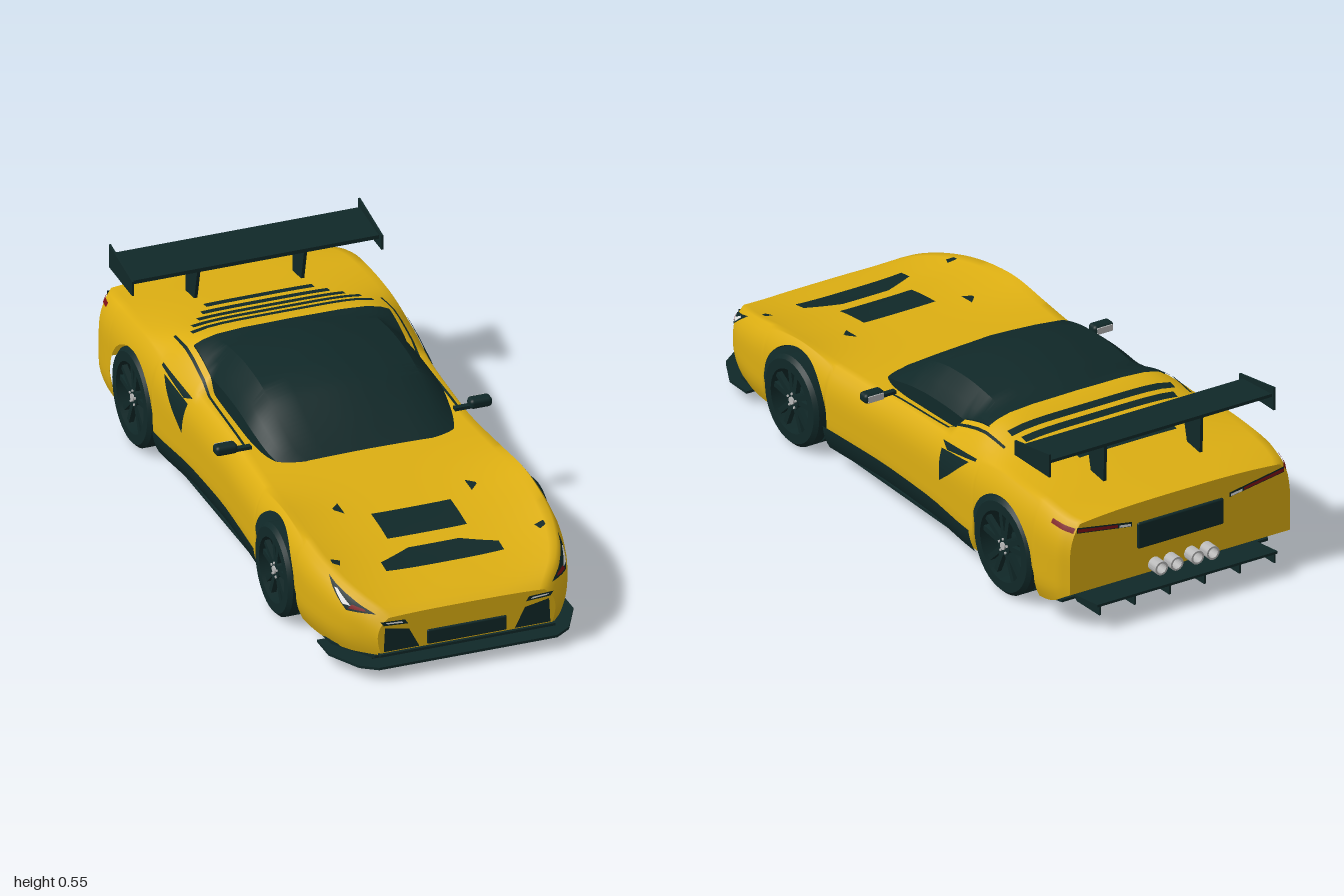
import * as THREE from 'three';
import { toCreasedNormals } from 'three/addons/utils/BufferGeometryUtils.js';
import { RoundedBoxGeometry } from 'three/addons/geometries/RoundedBoxGeometry.js';

const paint = (name, color) => {
  const m = new THREE.MeshStandardMaterial({ color, side: THREE.DoubleSide });
  m.name = name;
  return m;
};
const yellow = paint('yellow paint', 0xdcae12);
const dark = paint('dark trim', 0x102828);
const silver = paint('silver', 0xb8b8b8);
const white = paint('white lamp', 0xececec);
const red = paint('red lamp', 0x7d1016);

// Smooth curve through [z, value] points that never overshoots
function curve(points) {
  const p = [...points].sort((a, b) => a[0] - b[0]);
  const d = p.slice(1).map((q, i) => (q[1] - p[i][1]) / (q[0] - p[i][0]));
  const m = p.map((q, i) => {
    const a = d[Math.max(0, i - 1)], b = d[Math.min(d.length - 1, i)];
    return a * b > 0 ? 2 * a * b / (a + b) : 0;
  });
  return z => {
    let i = 0;
    while (i < d.length - 1 && z > p[i + 1][0]) i++;
    const h = p[i + 1][0] - p[i][0], t = THREE.MathUtils.clamp((z - p[i][0]) / h, 0, 1);
    const s = t * t * (3 - 2 * t);
    return p[i][1] * (1 - s) + p[i + 1][1] * s
      + h * (m[i] * t * (1 - t) * (1 - t) - m[i + 1] * t * t * (1 - t));
  };
}

// Body lines along the length of the car
const FRONT = 0.985, REAR = -0.96;
const halfWidth = curve([[0.985, 0.28], [0.96, 0.302], [0.9, 0.347], [0.82, 0.38], [0.7, 0.403], [0.55, 0.41], [0.35, 0.405],
  [0.2, 0.395], [0, 0.385], [-0.2, 0.388], [-0.45, 0.41], [-0.7, 0.418], [-0.85, 0.415], [-0.92, 0.405], [-0.96, 0.385]]);
const shoulderY = curve([[0.985, 0.195], [0.96, 0.215], [0.89, 0.25], [0.73, 0.295], [0.6, 0.318], [0.48, 0.328], [0.3, 0.319],
  [0.15, 0.318], [0, 0.328], [-0.2, 0.338], [-0.4, 0.352], [-0.62, 0.372], [-0.8, 0.368], [-0.96, 0.345]]);
const centreY = curve([[0.985, 0.2], [0.96, 0.212], [0.85, 0.24], [0.75, 0.257], [0.6, 0.285], [0.4, 0.302], [0.2, 0.318],
  [0, 0.322], [-0.2, 0.33], [-0.24, 0.34], [-0.28, 0.41], [-0.41, 0.445], [-0.5, 0.425], [-0.6, 0.402], [-0.75, 0.382], [-0.96, 0.358]]);
const crown = curve([[1, 3], [-0.2, 3], [-0.28, 6], [-0.42, 6], [-0.7, 3], [-1, 3]]);
const sillY = curve([[0.985, 0.075], [0.8, 0.056], [-0.8, 0.06], [-0.88, 0.075], [-0.96, 0.12]]);
const wheels = [{ z: 0.49, r: 0.142, arch: 0.48 }, { z: -0.64, r: 0.152, arch: -0.64 }];

const sideX = (z, y) => halfWidth(z)
  - 0.035 * Math.max(0, (y / shoulderY(z) - 0.6) / 0.4) ** 3
  - 0.02 * Math.max(0, (0.14 - y) / 0.08) ** 2;
const topY = (x, z) => {
  const s = Math.min(1, Math.abs(x) / (halfWidth(z) - 0.035));
  return centreY(z) + (shoulderY(z) - centreY(z)) * s ** crown(z);
};
// Lower body edge, lifted over the wheel arches
function edgeY(z) {
  let y = sillY(z);
  for (const w of wheels) {
    const q = 0.165 ** 2 - (z - w.arch) ** 2;
    if (q > 0) y = Math.max(y, 0.145 + Math.sqrt(q));
  }
  return y;
}
// One body cross-section from the +x sill over the top to the -x sill
function bodyRing(z) {
  const half = [], y0 = edgeY(z), y1 = shoulderY(z);
  for (let i = 0; i <= 12; i++) {
    const y = y0 + (y1 - y0) * i / 12;
    half.push([sideX(z, y), y, z]);
  }
  const xs = sideX(z, y1);
  for (let i = 1; i <= 14; i++) {
    const x = xs * (1 - i / 14);
    half.push([x, topY(x, z), z]);
  }
  return [...half, ...half.slice(0, -1).reverse().map(([x, y]) => [-x, y, z])];
}

// Smooth surface through a list of equal-length cross-sections
function sheet(rings) {
  const n = rings[0].length, index = [];
  for (let i = 0; i < rings.length - 1; i++)
    for (let j = 0; j < n - 1; j++) {
      const a = i * n + j, b = a + n;
      index.push(a, b, a + 1, b, b + 1, a + 1);
    }
  const g = new THREE.BufferGeometry();
  g.setAttribute('position', new THREE.Float32BufferAttribute(rings.flat(2), 3));
  g.setIndex(index);
  g.computeVertexNormals();
  return g;
}
const stations = (from, to, count, fn) =>
  Array.from({ length: count + 1 }, (_, i) => fn(from + (to - from) * i / count));

// Surfaces that thin painted details can lie on
const onSide = (lift, s) => (z, y) => [s * (sideX(z, y) + lift), y, z];
const onTop = (lift, s) => (x, z) => [s * x, topY(x, z) + lift, z];
const onNose = (lift, s) => (x, y) => [s * x, y, FRONT + lift];
const onTail = (lift, s) => (x, y) => [s * x, y, REAR - lift];

const shapeOf = pts => new THREE.Shape(pts.map(([a, b]) => new THREE.Vector2(a, b)));
const slab = (pts, t) => new THREE.ExtrudeGeometry(shapeOf(pts), { depth: t, bevelEnabled: false }).translate(0, 0, -t / 2);
const uprightSlab = (zy, t) => slab(zy, t).rotateY(-Math.PI / 2);
const flatSlab = (xz, t) => slab([...xz, ...xz.map(([x, z]) => [-x, z]).reverse()], t).rotateX(Math.PI / 2);

export function createModel() {
  const car = new THREE.Group();
  car.name = 'sports car';
  const add = (name, geo, mat, x = 0, y = 0, z = 0, parent = car) => {
    const m = new THREE.Mesh(geo, mat);
    m.name = name;
    m.position.set(x, y, z);
    parent.add(m);
    return m;
  };
  // Four-cornered thin detail draped on a surface
  const patch = (name, mat, c, surface, lift = 0.004, sides = [1, -1]) => {
    for (const s of sides) {
      const map = surface(lift, s);
      const mix = (a, b, t) => [a[0] + (b[0] - a[0]) * t, a[1] + (b[1] - a[1]) * t];
      add(name, sheet(stations(0, 1, 12, u =>
        stations(0, 1, 12, v => map(...mix(mix(c[0], c[1], u), mix(c[3], c[2], u), v))))), mat);
    }
  };
  const band = (w, a, b, w2 = w) => [[-w, a], [w, a], [w2, b], [-w2, b]];

  // Body shell with closed nose and tail
  add('bodyShell', sheet(stations(FRONT, REAR, 200, bodyRing)), yellow);
  add('nosePanel', new THREE.ShapeGeometry(shapeOf(bodyRing(FRONT))), yellow, 0, 0, FRONT);
  add('tailPanel', new THREE.ShapeGeometry(shapeOf(bodyRing(REAR))).rotateY(Math.PI), yellow, 0, 0, REAR);

  // Dark glass canopy
  const roofY = curve([[0.205, 0.322], [0.1, 0.4], [0, 0.457], [-0.1, 0.48], [-0.19, 0.485], [-0.3, 0.475], [-0.41, 0.45]]);
  const roofW = curve([[0.205, 0.25], [0.17, 0.285], [0.1, 0.302], [0, 0.31], [-0.41, 0.31]]);
  const halfRoof = [[1, 0], [0.99, 0.45], [0.9, 0.66], [0.76, 0.86], [0.5, 0.93], [0.25, 0.97], [0, 1]];
  const roofRing = z => [...halfRoof, ...halfRoof.slice(0, -1).reverse().map(([x, y]) => [-x, y])].map(([u, v]) => {
    const x = u * roofW(z), y = 0.3 + (roofY(z) - 0.3) * v;
    return [x, z < -0.26 && v > 0 ? Math.max(y, topY(x, z) + 0.004) : y, z];
  });
  add('canopy', toCreasedNormals(sheet(stations(0.205, -0.41, 40, roofRing)), 0.5), dark);
  patch('roofSeam', dark, [[0.321, -0.52], [0.329, -0.52], [0.339, 0.06], [0.331, 0.06]], onTop);

  // Bonnet vents and rear deck louvres
  patch('bonnetVent', dark, band(0.125, 0.54, 0.67), onTop, 0.004, [1]);
  patch('noseVent', dark, band(0.185, 0.77, 0.815), onTop, 0.004, [1]);
  patch('noseVentCrest', dark, band(0.08, 0.722, 0.771, 0.185), onTop, 0.004, [1]);
  patch('bonnetSlot', dark, [[0.2, 0.46], [0.225, 0.485], [0.225, 0.495], [0.2, 0.52]], onTop);
  patch('washerCover', dark, [[0.305, 0.75], [0.335, 0.745], [0.335, 0.765], [0.315, 0.775]], onTop);
  [[0.285, -0.485], [0.265, -0.53], [0.23, -0.575], [0.2, -0.62], [0.17, -0.67]].forEach(([w, z]) =>
    patch('deckLouvre', dark, band(w, z - 0.013, z + 0.013), onTop, 0.005, [1]));

  // Side skirts and intakes
  patch('sideSkirt', dark, [[0.322, 0.055], [-0.47, 0.055], [-0.465, 0.13], [0.325, 0.13]], onSide, 0.006);
  patch('upperIntake', dark, [[-0.26, 0.328], [-0.46, 0.353], [-0.46, 0.345], [-0.3, 0.314]], onSide);
  patch('lowerIntake', dark, [[-0.27, 0.308], [-0.43, 0.332], [-0.34, 0.255], [-0.28, 0.21]], onSide);

  // Headlights
  patch('headlight', dark, [[0.8, 0.272], [0.9, 0.235], [0.965, 0.203], [0.9, 0.2]], onSide);
  patch('headlightLens', white, [[0.84, 0.25], [0.85, 0.25], [0.91, 0.215], [0.885, 0.215]], onSide, 0.006);
  patch('headlightMarker', red, [[0.91, 0.22], [0.94, 0.213], [0.945, 0.207], [0.905, 0.207]], onSide, 0.006);

  // Front grilles and running lights
  add('centreGrille', new RoundedBoxGeometry(0.25, 0.047, 0.012, 3, 0.005), dark, 0, 0.11, FRONT);
  patch('cornerGrille', dark, [[0.15, 0.087], [0.262, 0.087], [0.258, 0.165], [0.182, 0.15]], onNose);
  patch('runningLight', dark, [[0.185, 0.168], [0.262, 0.173], [0.272, 0.187], [0.195, 0.183]], onNose);
  patch('runningLightLens', white, [[0.2, 0.174], [0.25, 0.178], [0.258, 0.183], [0.206, 0.18]], onNose, 0.006);
  add('bumperLip', new THREE.BoxGeometry(0.55, 0.008, 0.02), dark, 0, 0.078, FRONT);

  // Splitter, floor and air dam
  add('splitter', flatSlab([[0.28, 1], [0.33, 0.965], [0.385, 0.86], [0.385, 0.77]], 0.008), dark, 0, 0.04, 0);
  add('airDam', new THREE.BoxGeometry(0.56, 0.035, 0.02), dark, 0, 0.06, 0.93);
  add('floor', flatSlab([[0.28, 0.96], [0.365, 0.83], [0.38, 0.645], [0.27, 0.645], [0.27, 0.32], [0.38, 0.32], [0.38, -0.475],
    [0.27, -0.475], [0.27, -0.8], [0.385, -0.8], [0.36, -0.88]], 0.008), dark, 0, 0.06, 0);

  // Diffuser with fins, and exhausts
  add('diffuser', uprightSlab([[-0.84, 0.055], [-1, 0.078], [-1, 0.086], [-0.84, 0.063]], 0.63), dark);
  for (const x of [-0.305, -0.183, -0.061, 0.061, 0.183, 0.305])
    add('diffuserFin', uprightSlab([[-0.86, 0.06], [-0.88, 0.045], [-1, 0.05], [-1, 0.084]], 0.006), dark, x);
  const pipe = [[0.014, -0.04], [0.022, -0.04], [0.022, 0.04], [0.016, 0.04], [0.014, -0.04]].map(p => new THREE.Vector2(...p));
  for (const x of [-0.09, -0.036, 0.036, 0.09])
    add('exhaust', toCreasedNormals(new THREE.LatheGeometry(pipe, 20).rotateX(-Math.PI / 2), 0.6), silver, x, 0.143, -0.96);

  // Tail panel and lights
  add('tailRecess', new RoundedBoxGeometry(0.3, 0.085, 0.014, 3, 0.006), dark, 0, 0.25, REAR);
  patch('tailLightSurround', dark, [[0.17, 0.288], [0.362, 0.318], [0.362, 0.336], [0.17, 0.303]], onTail, 0.003);
  patch('tailLight', red, [[0.22, 0.299], [0.36, 0.321], [0.36, 0.332], [0.22, 0.308]], onTail, 0.005);
  patch('reverseLight', white, [[0.175, 0.291], [0.215, 0.297], [0.215, 0.305], [0.175, 0.299]], onTail, 0.005);
  patch('tailLightReturn', red, [[-0.88, 0.33], [-0.958, 0.318], [-0.958, 0.333], [-0.88, 0.343]], onSide);

  // Rear wing
  add('wingBlade', uprightSlab([[-0.7, 0.492], [-0.855, 0.51], [-0.855, 0.52], [-0.7, 0.504]], 0.78), dark);
  for (const s of [1, -1]) {
    add('wingEndPlate', uprightSlab([[-0.68, 0.465], [-0.865, 0.47], [-0.865, 0.545], [-0.68, 0.512]], 0.006), dark, s * 0.392);
    add('wingStrut', uprightSlab([[-0.75, 0.37], [-0.815, 0.365], [-0.82, 0.508], [-0.72, 0.496]], 0.01), dark, s * 0.168);
  }

  // Door mirrors
  for (const s of [1, -1]) {
    add('mirrorHousing', new RoundedBoxGeometry(0.07, 0.031, 0.04, 4, 0.012), dark, s * 0.4, 0.336, 0.075);
    add('mirrorGlass', new THREE.BoxGeometry(0.052, 0.02, 0.004), silver, s * 0.4, 0.336, 0.054);
    add('mirrorStalk', new THREE.BoxGeometry(0.06, 0.01, 0.018), dark, s * 0.35, 0.327, 0.075);
  }

  // Wheels: grooved tyre, paired spokes, hub and caliper
  for (const { z, r } of wheels) for (const s of [1, -1]) {
    const wheel = new THREE.Group();
    wheel.name = 'wheel';
    wheel.position.set(s * 0.348, r, z);
    car.add(wheel);
    const inner = r - 0.042, g = r - 0.006;
    const tyre = [[inner, -0.07], [r - 0.012, -0.07], [r, -0.058], [r, -0.026], [g, -0.024], [g, -0.018], [r, -0.016], [r, 0.016],
      [g, 0.018], [g, 0.024], [r, 0.026], [r, 0.058], [r - 0.012, 0.07], [inner, 0.07], [inner, -0.07]].map(p => new THREE.Vector2(...p));
    add('tyre', toCreasedNormals(new THREE.LatheGeometry(tyre, 40).rotateZ(Math.PI / 2), 0.6), dark, 0, 0, 0, wheel);
    for (let k = 0; k < 5; k++) for (const off of [-0.2, 0.2]) {
      const spoke = new THREE.BoxGeometry(0.016, inner, 0.017).translate(0, inner / 2, 0).rotateX(k * Math.PI * 0.4 + off);
      add('spoke', spoke, dark, s * 0.05, 0, 0, wheel);
    }
    add('hub', new THREE.CylinderGeometry(0.03, 0.03, 0.06, 20).rotateZ(Math.PI / 2), dark, s * 0.03, 0, 0, wheel);
    add('hubCap', new THREE.CylinderGeometry(0.012, 0.012, 0.01, 16).rotateZ(Math.PI / 2), silver, s * 0.06, 0, 0, wheel);
    for (let k = 0; k < 5; k++) {
      const a = k * Math.PI * 0.4;
      add('wheelNut', new THREE.CylinderGeometry(0.004, 0.004, 0.006, 6).rotateZ(Math.PI / 2), silver,
        s * 0.061, 0.022 * Math.cos(a), 0.022 * Math.sin(a), wheel);
    }
    add('brakeCaliper', new THREE.BoxGeometry(0.03, 0.022, 0.06).rotateX(-0.8), yellow, s * 0.015, 0.055, -0.055, wheel);
  }
  return car;
}
